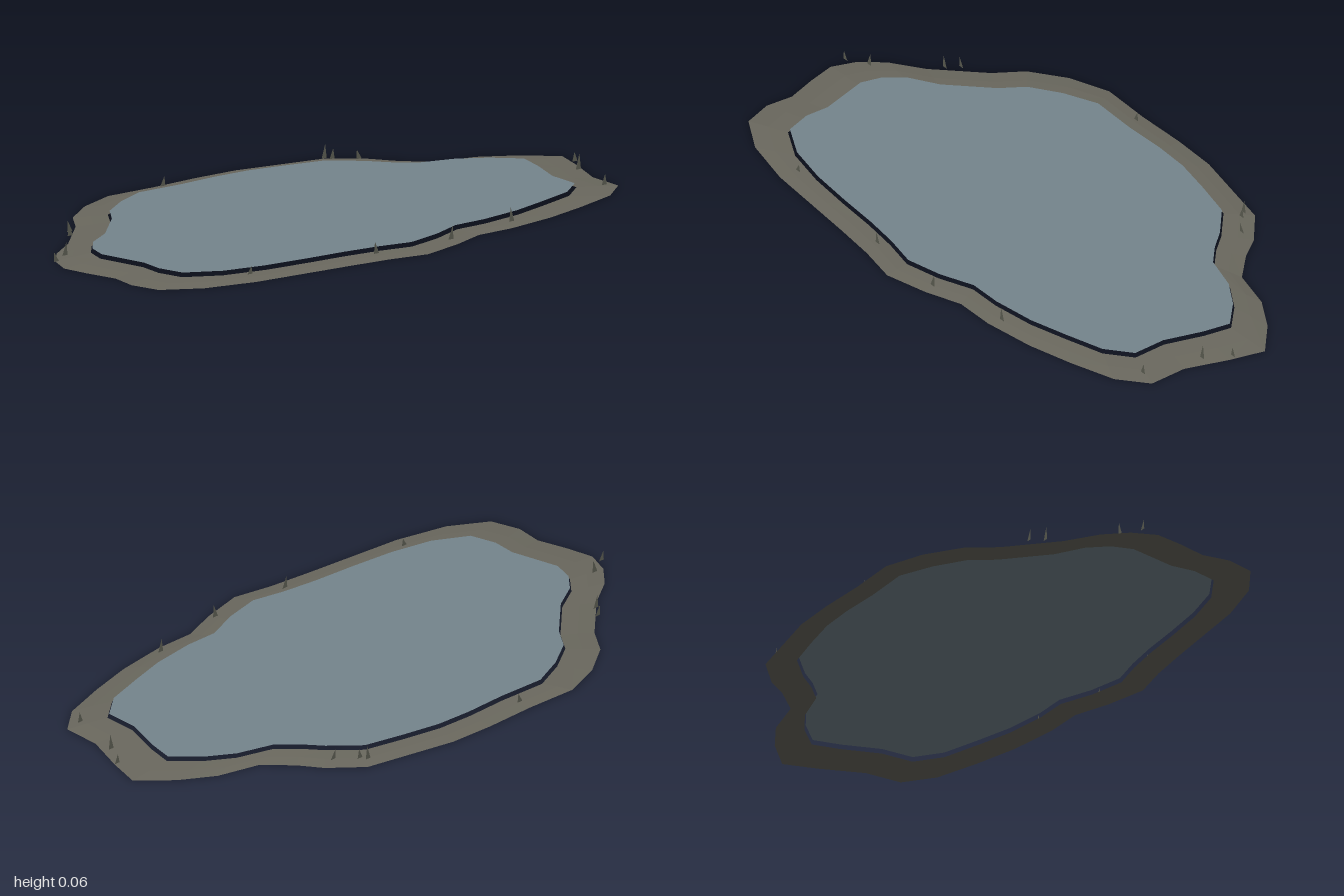
import * as THREE from 'three';

const shoreMat = new THREE.MeshStandardMaterial({ color: 0x6a685e, flatShading: true, side: THREE.DoubleSide });
shoreMat.name = 'muddy shore';
const waterMat = new THREE.MeshStandardMaterial({ color: 0x75858d, side: THREE.DoubleSide });
waterMat.name = 'still water';
const bladeMat = new THREE.MeshStandardMaterial({ color: 0x5c5d52, side: THREE.DoubleSide });
bladeMat.name = 'dry grass';

// Outer shore outline, [x, z]
const OUTER = [
  [-1, 0.01], [-0.97, -0.07], [-0.91, -0.14], [-0.81, -0.21], [-0.75, -0.27], [-0.67, -0.35], [-0.61, -0.44],
  [-0.5, -0.52], [-0.37, -0.57], [-0.2, -0.565], [-0.03, -0.57], [0.12, -0.565], [0.27, -0.535], [0.42, -0.505],
  [0.52, -0.42], [0.57, -0.35], [0.65, -0.27], [0.79, -0.235], [0.9, -0.17], [1, -0.08], [0.97, 0.03],
  [0.92, 0.17], [0.92, 0.295], [0.83, 0.37], [0.68, 0.42], [0.53, 0.46], [0.36, 0.485], [0.23, 0.485],
  [0.11, 0.53], [-0.03, 0.565], [-0.16, 0.54], [-0.3, 0.525], [-0.47, 0.51], [-0.64, 0.495], [-0.81, 0.455],
  [-0.93, 0.385], [-0.96, 0.29], [-0.95, 0.2], [-0.98, 0.1],
];
// Inner shore outline, matching the outer one point for point
const INNER = [
  [-0.86, 0.01], [-0.84, -0.06], [-0.79, -0.12], [-0.7, -0.175], [-0.65, -0.225], [-0.575, -0.3], [-0.525, -0.375],
  [-0.43, -0.44], [-0.32, -0.49], [-0.16, -0.485], [-0.02, -0.49], [0.1, -0.485], [0.23, -0.46], [0.36, -0.43],
  [0.45, -0.35], [0.5, -0.29], [0.56, -0.235], [0.68, -0.2], [0.77, -0.145], [0.848, -0.07], [0.83, 0.02],
  [0.79, 0.145], [0.79, 0.255], [0.71, 0.32], [0.58, 0.36], [0.455, 0.395], [0.31, 0.415], [0.2, 0.415],
  [0.09, 0.46], [-0.03, 0.488], [-0.14, 0.465], [-0.26, 0.45], [-0.4, 0.44], [-0.55, 0.425], [-0.69, 0.395],
  [-0.8, 0.335], [-0.825, 0.25], [-0.82, 0.17], [-0.84, 0.09],
];
const WATER_Y = 0.021;

// Grass blades: x, z, height, sideways lean of the tip
const BLADES = [
  [-0.99, -0.04, 0.03, -0.008], [-0.925, -0.08, 0.042, 0.006], [-0.77, -0.25, 0.042, -0.006],
  [-0.74, -0.29, 0.034, -0.008], [-0.62, 0.44, 0.025, 0.005], [-0.19, -0.53, 0.03, 0.006],
  [-0.17, 0.49, 0.038, -0.006], [0.11, 0.5, 0.042, 0.007], [0.385, 0.45, 0.044, -0.004],
  [0.395, -0.48, 0.044, 0.004], [0.41, -0.46, 0.032, 0.004], [0.475, -0.41, 0.03, -0.009],
  [0.87, 0.29, 0.034, 0.003], [0.92, 0.1, 0.05, 0.004], [0.97, 0.02, 0.03, -0.002],
];

function surface(positions, index) {
  const g = new THREE.BufferGeometry();
  g.setAttribute('position', new THREE.Float32BufferAttribute(positions, 3));
  g.setIndex(index);
  g.computeVertexNormals();
  return g;
}

// Low bank rising from the outer edge to the waterline in two strips
function shoreGeometry() {
  const rings = [[0, 0], [0.5, 0.005], [1, 0.008]]; // [blend to inner outline, height]
  const n = OUTER.length, pos = [], idx = [];
  for (const [t, y] of rings) {
    OUTER.forEach(([x, z], i) => {
      pos.push(x + (INNER[i][0] - x) * t, y, z + (INNER[i][1] - z) * t);
    });
  }
  for (let r = 0; r < rings.length - 1; r++) {
    for (let i = 0; i < n; i++) {
      const a = r * n + i, b = r * n + (i + 1) % n;
      idx.push(a, a + n, b, b, a + n, b + n);
    }
  }
  return surface(pos, idx);
}

export function createModel() {
  const pond = new THREE.Group();
  pond.name = 'pond';
  const add = (name, geometry, material, parent = pond) => {
    const mesh = new THREE.Mesh(geometry, material);
    mesh.name = name;
    parent.add(mesh);
    return mesh;
  };

  add('shore', shoreGeometry(), shoreMat);

  // Flat water sheet, floating just above and inside the bank
  const outline = new THREE.Shape(INNER.map(([x, z]) => new THREE.Vector2(x * 0.994, -z * 0.99)));
  const sheet = new THREE.ShapeGeometry(outline).rotateX(-Math.PI / 2);
  add('water', sheet, waterMat).position.y = WATER_Y;

  // Single-triangle grass blades facing the front
  const grass = new THREE.Group();
  grass.name = 'grass';
  pond.add(grass);
  for (const [x, z, h, lean] of BLADES) {
    const blade = surface([-0.01, 0, 0, 0.01, 0, 0, lean, h, 0], [0, 1, 2]);
    add('grassBlade', blade, bladeMat, grass).position.set(x, 0.01, z);
  }
  return pond;
}
